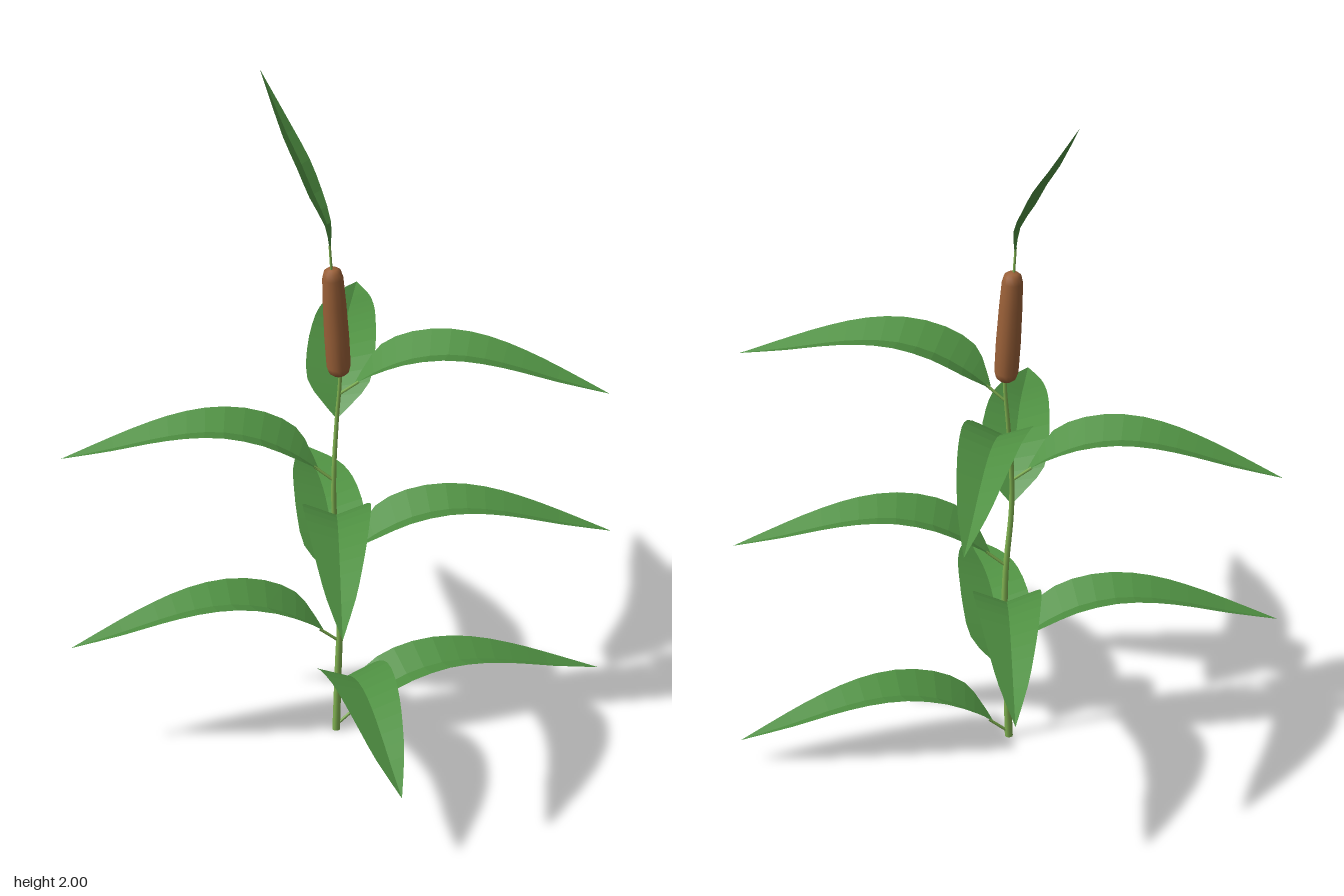
import * as THREE from 'three';

const leafGreen = new THREE.MeshStandardMaterial({ color: 0x4f9042, flatShading: true, side: THREE.DoubleSide });
leafGreen.name = 'leafGreen';
const stemGreen = new THREE.MeshStandardMaterial({ color: 0x7fb050 });
stemGreen.name = 'stemGreen';
const spikeBrown = new THREE.MeshStandardMaterial({ color: 0x9a6038 });
spikeBrown.name = 'spikeBrown';

// Stem centre line
const stemPath = new THREE.CatmullRomCurve3([
  [-0.008, 0, 0], [-0.001, 0.2, -0.003], [0.005, 0.36, -0.004], [0, 0.52, 0.003],
  [-0.018, 0.7, 0.014], [-0.018, 0.83, 0.013], [-0.006, 0.98, 0], [0.003, 1.12, 0],
  [-0.012, 1.3, 0.002], [-0.022, 1.44, 0.004], [-0.028, 1.53, 0.005],
].map((p) => new THREE.Vector3(...p)));

// Point on the stem at a given height
function stemAt(y) {
  let lo = 0, hi = 1;
  for (let i = 0; i < 24; i++) {
    const mid = (lo + hi) / 2;
    if (stemPath.getPoint(mid).y < y) lo = mid; else hi = mid;
  }
  return stemPath.getPoint(lo);
}

// Blade folded along its midrib; stations are [reach, height, half width]
function bladeGeometry(stations, rows, fold) {
  const curve = new THREE.CatmullRomCurve3(stations.map((s) => new THREE.Vector3(...s)));
  const positions = [], indices = [];
  for (let i = 0; i <= rows; i++) {
    const p = curve.getPoint(i / rows);
    const t = curve.getTangent(i / rows);
    const len = Math.hypot(t.x, t.y) || 1;
    const w = Math.max(p.z, 0);
    const dx = (-t.y / len) * w * fold, dy = (t.x / len) * w * fold;
    positions.push(p.x + dx, p.y + dy, -w, p.x, p.y, 0, p.x + dx, p.y + dy, w);
    if (i === rows) break;
    for (let k = 0; k < 2; k++) {
      const a = i * 3 + k;
      indices.push(a, a + 1, a + 3, a + 1, a + 4, a + 3);
    }
  }
  const g = new THREE.BufferGeometry();
  g.setAttribute('position', new THREE.Float32BufferAttribute(positions, 3));
  g.setIndex(indices);
  g.computeVertexNormals();
  return g;
}

function addMesh(group, geometry, material, name) {
  const mesh = new THREE.Mesh(geometry, material);
  mesh.name = name;
  group.add(mesh);
  return mesh;
}

export function createModel() {
  const model = new THREE.Group();
  model.name = 'reedPlant';

  // Tapered stem: thin the tube towards its top
  const stem = new THREE.TubeGeometry(stemPath, 48, 0.011, 8);
  const pos = stem.attributes.position;
  for (let i = 0; i < pos.count; i++) {
    const c = stemPath.getPointAt(Math.floor(i / 9) / 48);
    const v = new THREE.Vector3().fromBufferAttribute(pos, i).sub(c);
    v.multiplyScalar(1 - 0.7 * (c.y / 1.53)).add(c);
    pos.setXYZ(i, v.x, v.y, v.z);
  }
  addMesh(model, stem, stemGreen, 'stem');

  // Nine arching leaves on short stalks, in a rising spiral
  const arch = bladeGeometry([
    [0.045, 0.037, 0.006], [0.075, 0.06, 0.043], [0.12, 0.09, 0.085],
    [0.2, 0.127, 0.093], [0.3, 0.147, 0.087], [0.4, 0.142, 0.076],
    [0.5, 0.121, 0.06], [0.6, 0.093, 0.04], [0.743, 0.057, 0],
  ], 16, 0.36);
  const stalkPath = new THREE.LineCurve3(new THREE.Vector3(0, 0, 0), new THREE.Vector3(0.055, 0.044, 0));
  const stalk = new THREE.TubeGeometry(stalkPath, 1, 0.004, 6);
  for (let i = 0; i < 9; i++) {
    const leaf = new THREE.Group();
    leaf.name = `leaf${i + 1}`;
    addMesh(leaf, arch, leafGreen, 'blade');
    addMesh(leaf, stalk, stemGreen, 'stalk');
    leaf.position.copy(stemAt(0.013 + 0.13 * i));
    leaf.rotation.y = -THREE.MathUtils.degToRad(93 * i);
    model.add(leaf);
  }

  // Brown seed spike with rounded ends, leaning with the stem
  const half = 0.17;
  const profile = [
    [0, -half], [0.018, -half + 0.003], [0.028, -half + 0.012], [0.033, -half + 0.03],
    [0.034, -0.05], [0.032, 0.06], [0.029, half - 0.03], [0.024, half - 0.01],
    [0.014, half - 0.002], [0, half],
  ].map((p) => new THREE.Vector2(...p));
  const spike = addMesh(model, new THREE.LatheGeometry(profile, 14), spikeBrown, 'seedSpike');
  spike.position.set(-0.01, 1.285, 0.002);
  spike.rotation.z = 0.06;

  // Narrow upright leaf at the tip
  const top = addMesh(model, bladeGeometry([
    [0.004, 0.06, 0.003], [0.013, 0.13, 0.014], [0.058, 0.21, 0.028],
    [0.1, 0.29, 0.03], [0.15, 0.37, 0.025], [0.24, 0.54, 0],
  ], 10, 0.25), leafGreen, 'tipLeaf');
  top.position.set(-0.024, 1.46, 0.004);
  top.rotation.y = -THREE.MathUtils.degToRad(233);

  return model;
}
